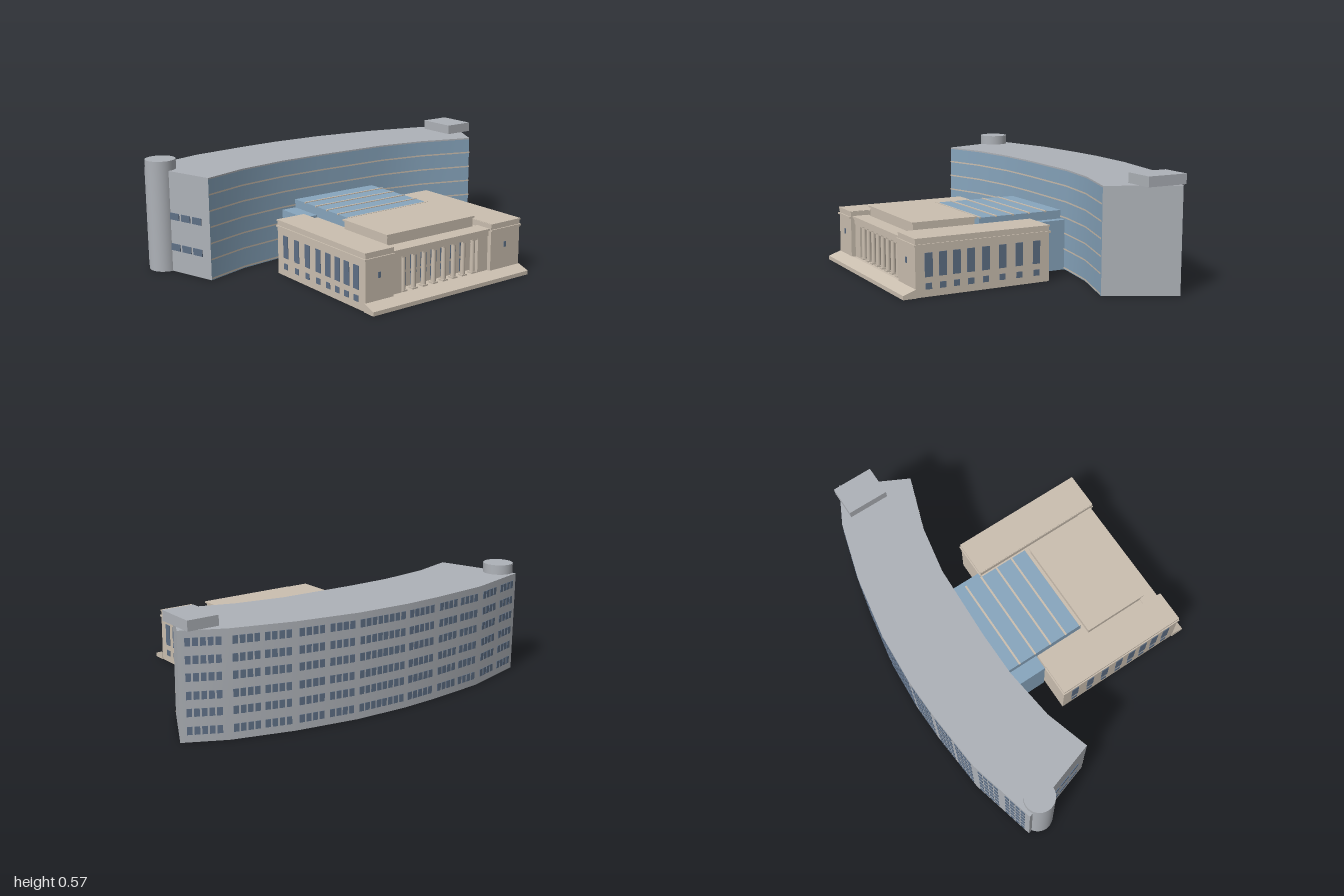
import * as THREE from 'three';
import { mergeGeometries } from 'three/addons/utils/BufferGeometryUtils.js';

const mat = (name, color, side = THREE.DoubleSide) => {
  const m = new THREE.MeshStandardMaterial({ color, side });
  m.name = name;
  return m;
};

export function createModel() {
  const model = new THREE.Group();
  const stone = mat('sandstone', 0xcbbfb0);
  const concrete = mat('grey concrete', 0xaeb2b8);
  const glass = mat('blue glass', 0x88a6be);
  const pane = mat('slate window', 0x5f7086, THREE.FrontSide);

  const add = (name, geo, material, parent = model) => {
    const m = new THREE.Mesh(geo, material);
    m.name = name;
    parent.add(m);
    return m;
  };
  // Box given by its limits; open ones have no floor
  const boxGeo = (x0, x1, y0, y1, z0, z1, open = false) => {
    const g = new THREE.BoxGeometry(x1 - x0, y1 - y0, z1 - z0);
    if (open) {
      const i = Array.from(g.index.array);
      i.splice(18, 6);
      g.setIndex(i);
      g.clearGroups();
    }
    return g.translate((x0 + x1) / 2, (y0 + y1) / 2, (z0 + z1) / 2);
  };
  // Vertical ribbon following a plan line
  const ribbon = (pts, y0, y1, dz = 0) => {
    const pos = [], idx = [];
    pts.forEach(([x, z], i) => {
      pos.push(x, y0, z + dz, x, y1, z + dz);
      if (i) idx.push(2 * i - 2, 2 * i, 2 * i + 1, 2 * i - 2, 2 * i + 1, 2 * i - 1);
    });
    const g = new THREE.BufferGeometry();
    g.setAttribute('position', new THREE.Float32BufferAttribute(pos, 3));
    g.setIndex(idx);
    g.computeVertexNormals();
    return g;
  };

  // ---- Curved office block ----
  const H = 0.52;
  const front = [[-0.84, -0.175], [-0.61, -0.245], [-0.34, -0.28], [-0.1, -0.283], [0.3, -0.27], [0.55, -0.225], [0.83, -0.13]];
  const back = [[1, -0.46], [0.8, -0.56], [0.5, -0.645], [0.18, -0.7], [-0.1, -0.715], [-0.3, -0.708], [-0.62, -0.68], [-0.97, -0.59]];
  const block = new THREE.Group();
  block.name = 'curvedBlock';
  model.add(block);
  add('glassFront', ribbon(front, 0, H - 0.008), glass, block);
  add('frontCoping', ribbon(front, H - 0.008, H), concrete, block);
  add('backWall', ribbon(back, 0, H), concrete, block);
  add('rightEndWall', ribbon([front[6], back[0]], 0, H), concrete, block);
  add('leftEndWall', ribbon([back[7], front[0]], 0, H), concrete, block);
  add('innerLiningLeft', ribbon(front.slice(0, 4), 0, H, -0.006), concrete, block);
  add('innerLiningRight', ribbon(front.slice(4), 0, H, -0.006), concrete, block);
  const plan = new THREE.Shape([...front, ...back].map(([x, z]) => new THREE.Vector2(x, -z)));
  add('blockRoof', new THREE.ShapeGeometry(plan).rotateX(-Math.PI / 2).translate(0, H, 0), concrete, block);
  const bands = [0.01, 0.108, 0.19, 0.273, 0.355, 0.437].map(y => ribbon(front, y - 0.004, y + 0.004, 0.004));
  add('floorBands', mergeGeometries(bands), stone, block);

  // Window grids on the back facets
  const rows = [0.055, 0.14, 0.22, 0.305, 0.385, 0.467];
  const panes = [];
  const wallPane = (a, b, dist, y, w, h, t = 0.006) => {
    const dx = b[0] - a[0], dz = b[1] - a[1], L = Math.hypot(dx, dz);
    return new THREE.BoxGeometry(w, h, t).rotateY(Math.atan2(-dz, dx))
      .translate(a[0] + dx * dist / L, y, a[1] + dz * dist / L);
  };
  for (let f = 0; f < back.length - 1; f++) {
    const a = back[f], b = back[f + 1];
    const L = Math.hypot(b[0] - a[0], b[1] - a[1]);
    const groups = L < 0.25 ? [0.5] : [0.26, 0.74];
    const n = L < 0.25 ? 5 : 4;
    for (const c of groups) for (let k = 0; k < n; k++) for (const y of rows)
      panes.push(wallPane(a, b, c * L + (k - (n - 1) / 2) * 0.034, y, 0.025, 0.038));
  }
  add('backWindows', mergeGeometries(panes), pane, block);

  // Windows on the left end wall
  const endPanes = [];
  for (const y of [0.13, 0.29]) for (let k = 0; k < 3; k++)
    endPanes.push(wallPane(back[7], front[0], 0.2 + k * 0.075, y, 0.06, 0.035, 0.009));
  add('endWindows', mergeGeometries(endPanes), pane, block);

  // Stair tower and roof plant room
  add('roundTower', new THREE.CylinderGeometry(0.077, 0.077, 0.57, 32).translate(-0.923, 0.285, -0.505), concrete, block);
  add('plantRoom', boxGeo(0.81, 0.97, H, 0.57, -0.5, -0.285), concrete, block);

  // ---- Glass link and atrium ----
  add('glassLink', boxGeo(-0.35, 0.28, 0, 0.26, -0.275, -0.078, true), glass);
  add('atrium', boxGeo(-0.27, 0.238, 0.24, 0.304, -0.275, 0.2, true), glass);
  const ribs = [-0.18, -0.085, 0.01, 0.105, 0.195].map(z => boxGeo(-0.272, 0.24, 0.3, 0.308, z - 0.005, z + 0.005));
  add('atriumRibs', mergeGeometries(ribs), stone);

  // ---- Stone hall ----
  const hall = new THREE.Group();
  hall.name = 'stoneHall';
  model.add(hall);
  add('hallBody', boxGeo(-0.35, 0.265, 0, 0.25, -0.07, 0.57, true), stone, hall);
  add('atticBlock', boxGeo(-0.313, 0.228, 0.25, 0.303, 0.22, 0.553, true), stone, hall);
  add('atticCornice', boxGeo(-0.32, 0.235, 0.302, 0.311, 0.213, 0.56), stone, hall);

  // Side wings with cornices and windows
  for (const [side, x0, x1, out] of [['right', -0.515, -0.35, -1], ['left', 0.265, 0.46, 1]]) {
    const wing = new THREE.Group();
    wing.name = side + 'Wing';
    hall.add(wing);
    add('wingBody', boxGeo(x0, x1, 0, 0.279, -0.07, 0.648, true), stone, wing);
    const o0 = out < 0 ? x0 - 0.006 : x0, o1 = out > 0 ? x1 + 0.006 : x1;
    add('wingCornice', boxGeo(o0, o1, 0.243, 0.252, -0.077, 0.655), stone, wing);
    add('wingParapet', boxGeo(o0 + 0.003, o1 - 0.003, 0.273, 0.281, -0.073, 0.651), stone, wing);
    const wx = out > 0 ? x1 : x0, w = [];
    for (const z of [0.58, 0.507, 0.435, 0.36, 0.28, 0.19, 0.098, 0.002]) {
      w.push(boxGeo(wx - 0.003, wx + 0.003, 0.095, 0.21, z - 0.02, z + 0.02));
      w.push(boxGeo(wx - 0.003, wx + 0.003, 0.036, 0.066, z - 0.016, z + 0.016));
    }
    const fx = out > 0 ? 0.36 : -0.435;
    w.push(boxGeo(fx - 0.007, fx + 0.007, 0.15, 0.178, 0.645, 0.651));
    add('wingWindows', mergeGeometries(w), pane, wing);
  }

  // Recessed colonnade
  const portico = new THREE.Group();
  portico.name = 'portico';
  hall.add(portico);
  add('entablature', boxGeo(-0.35, 0.265, 0.218, 0.245, 0.56, 0.63), stone, portico);
  add('porticoCornice', boxGeo(-0.35, 0.265, 0.245, 0.256, 0.55, 0.638), stone, portico);
  add('rightPier', boxGeo(-0.35, -0.285, 0.03, 0.22, 0.56, 0.625), stone, portico);
  add('leftPier', boxGeo(0.2, 0.265, 0.03, 0.22, 0.56, 0.625), stone, portico);
  add('porticoFloor', boxGeo(-0.35, 0.265, 0.03, 0.04, 0.56, 0.65), stone, portico);
  const cols = [], bays = [];
  const step = 0.063, first = -0.263;
  for (let i = 0; i < 8; i++) {
    const x = first + i * step;
    cols.push(new THREE.CylinderGeometry(0.011, 0.013, 0.17, 16).translate(x, 0.128, 0.61));
    cols.push(boxGeo(x - 0.016, x + 0.016, 0.209, 0.219, 0.594, 0.626));
    cols.push(boxGeo(x - 0.016, x + 0.016, 0.04, 0.048, 0.594, 0.626));
    if (i < 7) {
      const c = x + step / 2;
      bays.push(boxGeo(c - 0.018, c + 0.018, 0.125, 0.205, 0.567, 0.573));
      bays.push(boxGeo(c - 0.018, c + 0.018, 0.048, 0.112, 0.567, 0.573));
    }
  }
  add('columns', mergeGeometries(cols), stone, portico);
  add('porticoWindows', mergeGeometries(bays), pane, portico);

  // Sloping front plinth
  const prof = new THREE.Shape([[0.645, 0], [0.713, 0], [0.713, 0.02], [0.645, 0.043]].map(p => new THREE.Vector2(-p[0], p[1])));
  const plinth = new THREE.ExtrudeGeometry(prof, { depth: 0.985, bevelEnabled: false });
  add('frontPlinth', plinth.rotateY(Math.PI / 2).translate(-0.52, 0, 0), stone, hall);

  return model;
}
